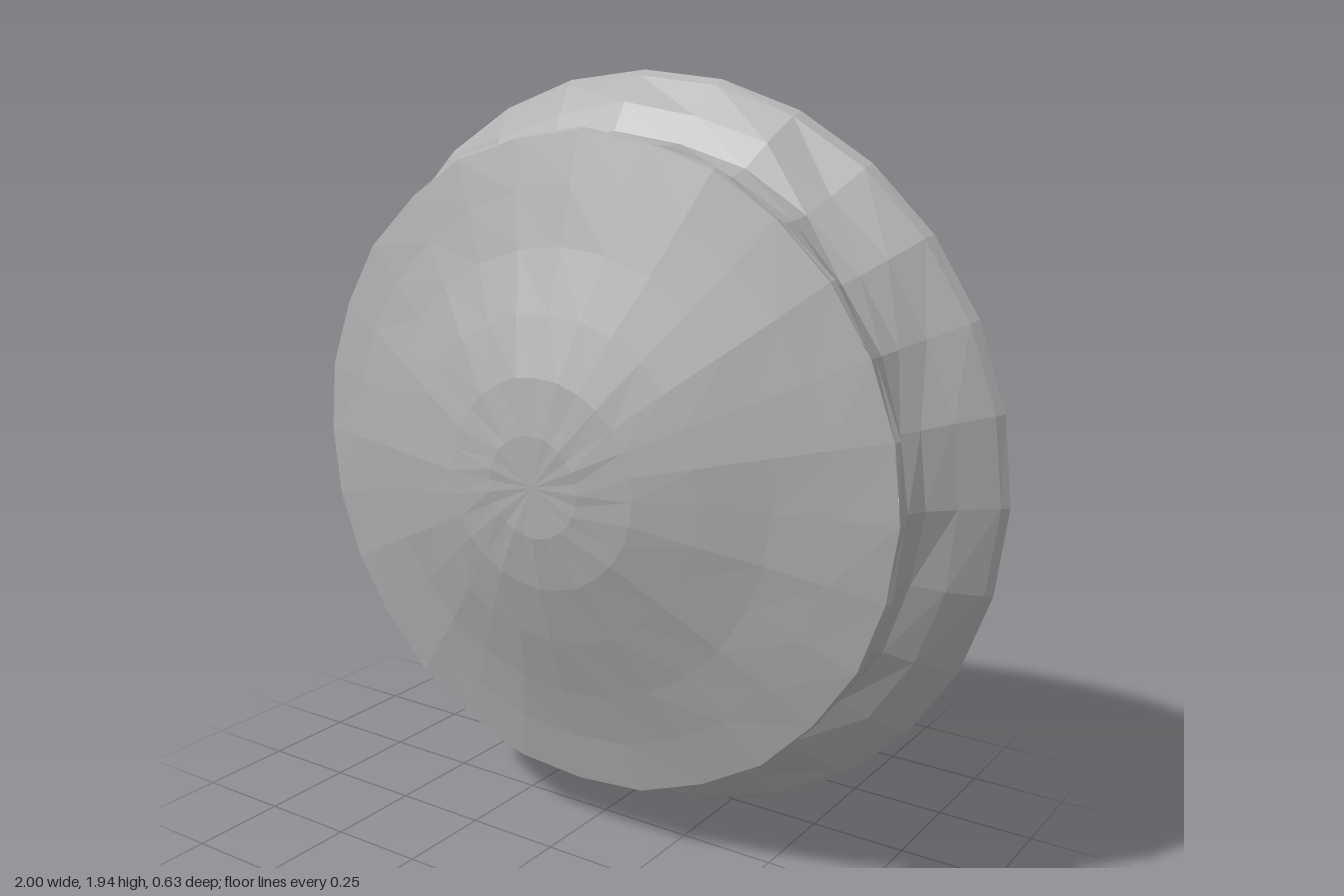
import * as THREE from 'three';

const SIDES = 28;
const TALL = 0.97; // slightly squashed circle

export function createModel() {
  const group = new THREE.Group();
  group.name = 'domedCap';
  const grey = new THREE.MeshStandardMaterial({ color: 0xb0b0b0 });
  grey.name = 'plainGrey';
  grey.flatShading = true;

  let seed = 7;
  const rand = () => (seed = (seed * 16807) % 2147483647) / 2147483647;

  // Revolve a [radius, z] profile around z, with small hand-made unevenness
  const revolve = (name, profile, wobble) => {
    const pts = profile.map(([r, z]) => new THREE.Vector2(r, z));
    const geo = new THREE.LatheGeometry(pts, SIDES);
    geo.rotateX(Math.PI / 2);
    const p = geo.attributes.position;
    for (let i = 0; i < p.count; i++) {
      const x = p.getX(i), y = p.getY(i), z = p.getZ(i);
      const a = Math.atan2(y, x), r = Math.hypot(x, y);
      const n = r < 0.01 ? 0 : wobble * Math.sin(5 * a + 40 * z) * Math.cos(8 * a + 17 * r);
      const s = 1 + (r > 0.95 ? 0 : n);
      p.setXYZ(i, x * s, y * s * TALL + TALL, z + n * 0.4);
    }
    geo.computeVertexNormals();
    const mesh = new THREE.Mesh(geo, grey);
    mesh.name = name;
    group.add(mesh);
  };

  // Bulging front, and its hollow underside
  revolve('frontDome', [[0.855, 0.115], [0.72, 0.148], [0.58, 0.187], [0.42, 0.24],
    [0.27, 0.285], [0.13, 0.308], [0, 0.31]], 0.006);
  revolve('domeUnderside', [[0, 0.28], [0.13, 0.278], [0.27, 0.255], [0.42, 0.21],
    [0.58, 0.157], [0.72, 0.115], [0.81, 0.08]], 0.006);

  // Inner lip and wall, back rim, flange, waist and front edge
  revolve('rimBody', [[0.81, 0.08], [0.80, 0.04], [0.765, 0.025], [0.765, -0.01], [0.81, -0.03],
    [0.825, -0.12], [0.85, -0.2], [0.845, -0.3], [0.855, -0.312], [0.88, -0.308],
    [0.885, -0.2], [0.965, -0.195], [1.0, -0.17], [0.985, -0.15], [0.91, -0.085], [0.85, -0.035],
    [0.83, 0.01], [0.84, 0.06], [0.86, 0.1], [0.855, 0.115]], 0.012);

  // Ragged catches around the inner lip
  const catches = new THREE.Group();
  catches.name = 'innerCatches';
  for (let i = 0; i < 18; i++) {
    const a = (i + rand() * 0.7) / 18 * Math.PI * 2;
    const geo = new THREE.TetrahedronGeometry(0.055 + rand() * 0.025);
    const mesh = new THREE.Mesh(geo, grey);
    mesh.name = 'catch';
    mesh.scale.set(1, 0.7, 0.7);
    mesh.rotation.set(rand() * 3, rand() * 3, a);
    mesh.position.set(0.765 * Math.cos(a), TALL * (1 + 0.765 * Math.sin(a)), 0.005);
    catches.add(mesh);
  }
  group.add(catches);
  return group;
}
